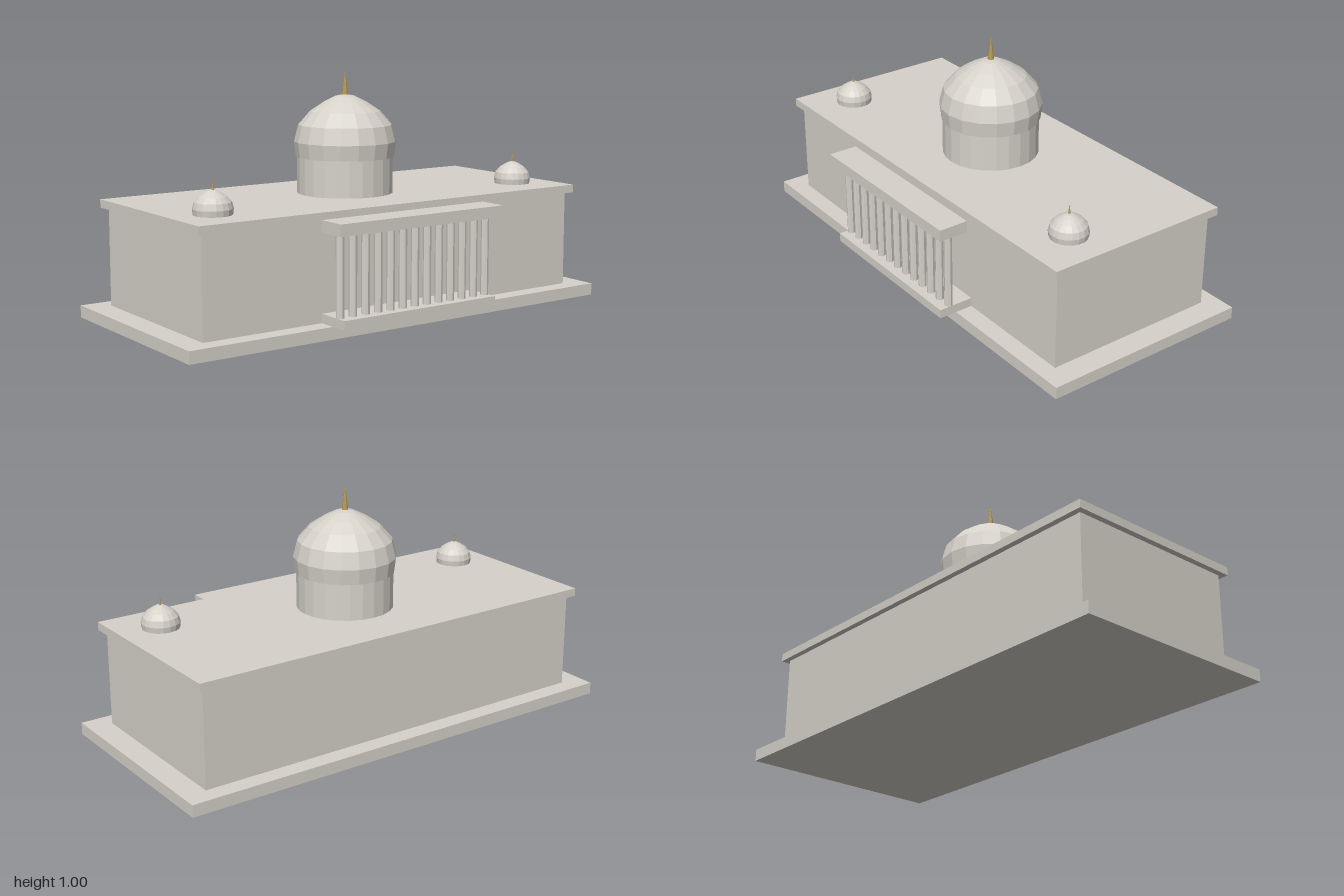
import * as THREE from 'three';

export function createModel() {
  const model = new THREE.Group();
  const stone = new THREE.MeshStandardMaterial({ color: 0xd6d2ca, flatShading: true });
  stone.name = 'pale stone';
  const gold = new THREE.MeshStandardMaterial({ color: 0xb89b52, flatShading: true });
  gold.name = 'dull gold';

  const add = (parent, name, geometry, material, x, y, z) => {
    const mesh = new THREE.Mesh(geometry, material);
    mesh.name = name;
    mesh.position.set(x, y, z);
    parent.add(mesh);
    return mesh;
  };
  // Box centred on x, given by its half width and its y and z limits
  const slab = (name, halfX, y0, y1, z0, z1) =>
    add(model, name, new THREE.BoxGeometry(2 * halfX, y1 - y0, z1 - z0), stone,
      0, (y0 + y1) / 2, (z0 + z1) / 2);

  // Main block
  slab('plinth', 1, 0, 0.05, -0.493, 0.407);
  slab('hall', 0.9, 0.05, 0.452, -0.418, 0.332);
  slab('roof', 0.925, 0.452, 0.486, -0.443, 0.357);

  // Portico with a row of columns
  slab('porticoFloor', 0.375, 0.05, 0.087, 0.332, 0.482);
  slab('porticoLintel', 0.4, 0.412, 0.46, 0.37, 0.495);
  const columnShape = new THREE.CylinderGeometry(0.0165, 0.0165, 0.325, 8);
  for (let i = -6; i <= 6; i++) {
    add(model, 'column', columnShape, stone, i * 0.06, 0.2495, 0.432);
  }

  // Pointed dome with spire, reused at a smaller size for the corners
  const profile = [
    [0.18, 0], [0.205, 0], [0.2125, 0.063], [0.195, 0.132], [0.146, 0.188],
    [0.09, 0.225], [0.04, 0.25], [0, 0.258],
  ].map(([r, y]) => new THREE.Vector2(r, y));
  const domeShape = new THREE.LatheGeometry(profile, 18);
  const spireShape = new THREE.ConeGeometry(0.0135, 0.106, 8);
  const dome = (name, x, y, z, scale) => {
    const group = new THREE.Group();
    group.name = name;
    add(group, 'domeShell', domeShape, stone, 0, 0, 0);
    add(group, 'spire', spireShape, gold, 0, 0.307, 0);
    group.position.set(x, y, z);
    group.scale.setScalar(scale);
    model.add(group);
  };

  add(model, 'drum', new THREE.CylinderGeometry(0.2, 0.2, 0.154, 24), stone, 0, 0.562, -0.043);
  dome('mainDome', 0, 0.637, -0.043, 1);
  for (const side of [-1, 1]) dome('cornerDome', side * 0.75, 0.486, 0.157, 0.37);

  return model;
}
